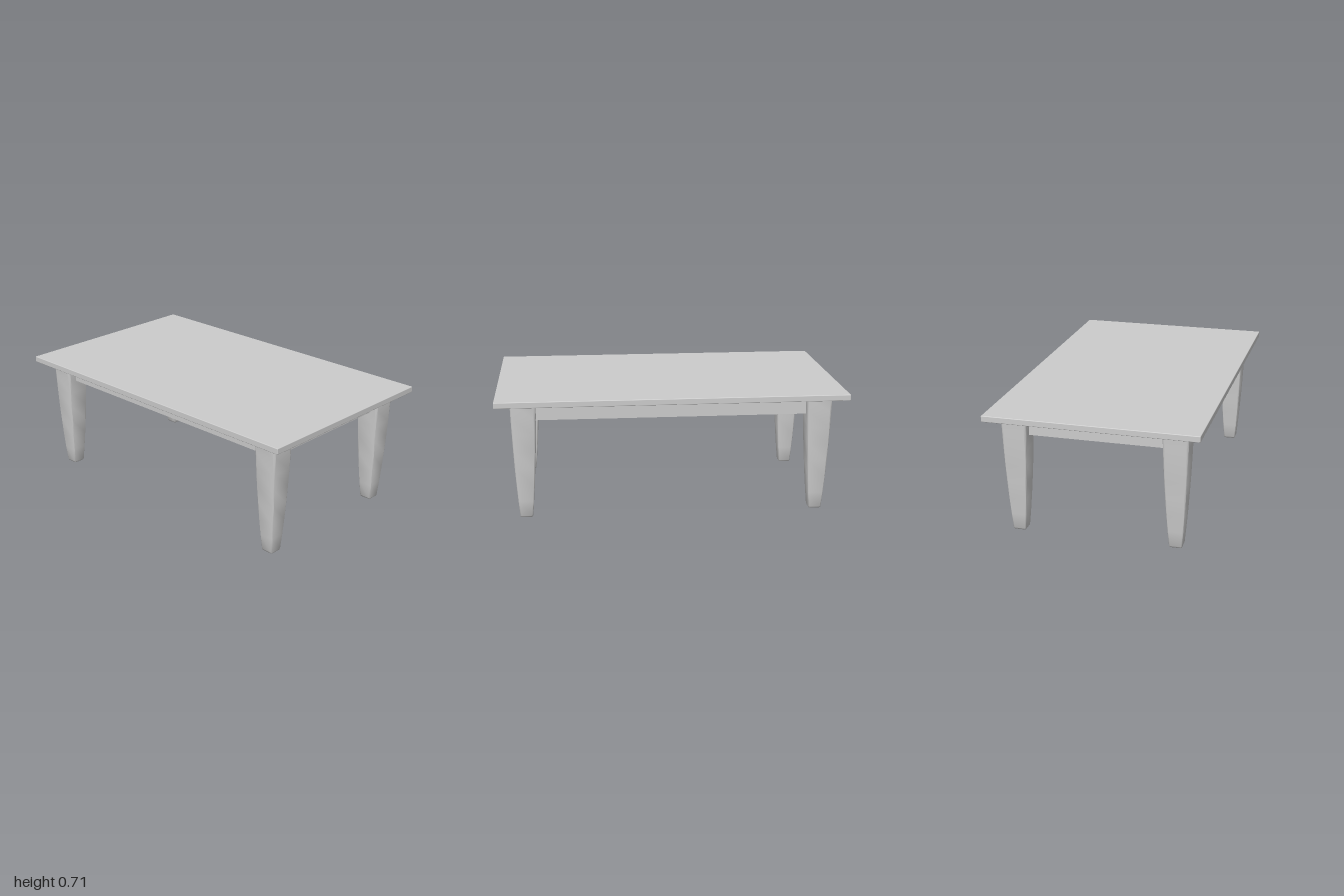
import * as THREE from 'three';
import { toCreasedNormals } from 'three/addons/utils/BufferGeometryUtils.js';
import { RoundedBoxGeometry } from 'three/addons/geometries/RoundedBoxGeometry.js';

const TOP_Y = 0.715, UNDER_Y = 0.68, LEG_X = 0.843, LEG_Z = 0.45;

// Leg outline from floor to tabletop: [height, half width]
const LEG_PROFILE = [
  [0, 0.03], [0.003, 0.034], [0.01, 0.037], [0.1, 0.0445], [0.2, 0.0515],
  [0.3, 0.0575], [0.4, 0.0625], [0.5, 0.0665], [0.6, 0.07], [UNDER_Y, 0.0725],
];

// Rounded square of half width 1
function roundedSquare(r) {
  const s = new THREE.Shape();
  const c = 1 - r;
  s.absarc(c, c, r, 0, Math.PI / 2);
  s.absarc(-c, c, r, Math.PI / 2, Math.PI);
  s.absarc(-c, -c, r, Math.PI, Math.PI * 1.5);
  s.absarc(c, -c, r, Math.PI * 1.5, Math.PI * 2);
  return s;
}

// Extrude one step per profile row, then scale each row to its width
function legGeometry() {
  const rows = LEG_PROFILE.length - 1;
  const geo = new THREE.ExtrudeGeometry(roundedSquare(0.17), {
    depth: rows, steps: rows, bevelEnabled: false, curveSegments: 4,
  });
  geo.rotateX(-Math.PI / 2);
  const p = geo.attributes.position;
  for (let i = 0; i < p.count; i++) {
    const [y, half] = LEG_PROFILE[Math.round(p.getY(i))];
    p.setXYZ(i, p.getX(i) * half, y, p.getZ(i) * half);
  }
  return toCreasedNormals(geo, 0.75);
}

export function createModel() {
  const group = new THREE.Group();
  const material = new THREE.MeshStandardMaterial({ color: 0xcccccc });
  const add = (name, geo, x, y, z) => {
    const mesh = new THREE.Mesh(geo, material);
    mesh.name = name;
    mesh.position.set(x, y, z);
    group.add(mesh);
  };

  // Tabletop with softly eased edges
  const thick = TOP_Y - UNDER_Y;
  add('tabletop', new RoundedBoxGeometry(2, thick, 1.2, 2, 0.004), 0, UNDER_Y + thick / 2, 0);

  // Four tapered legs
  const leg = legGeometry();
  for (const [sx, side] of [[1, 'Left'], [-1, 'Right']]) {
    for (const [sz, end] of [[1, 'front'], [-1, 'back']]) {
      add(`${end}${side}Leg`, leg, sx * LEG_X, 0, sz * LEG_Z);
    }
  }

  // Apron rails running between the legs
  const railH = 0.105, railT = 0.036, railY = UNDER_Y - railH / 2;
  const longRail = new THREE.BoxGeometry(2 * LEG_X - 0.08, railH, railT);
  const shortRail = new THREE.BoxGeometry(railT, railH, 2 * LEG_Z - 0.08);
  add('frontApron', longRail, 0, railY, LEG_Z);
  add('backApron', longRail, 0, railY, -LEG_Z);
  add('leftApron', shortRail, LEG_X, railY, 0);
  add('rightApron', shortRail, -LEG_X, railY, 0);

  return group;
}
